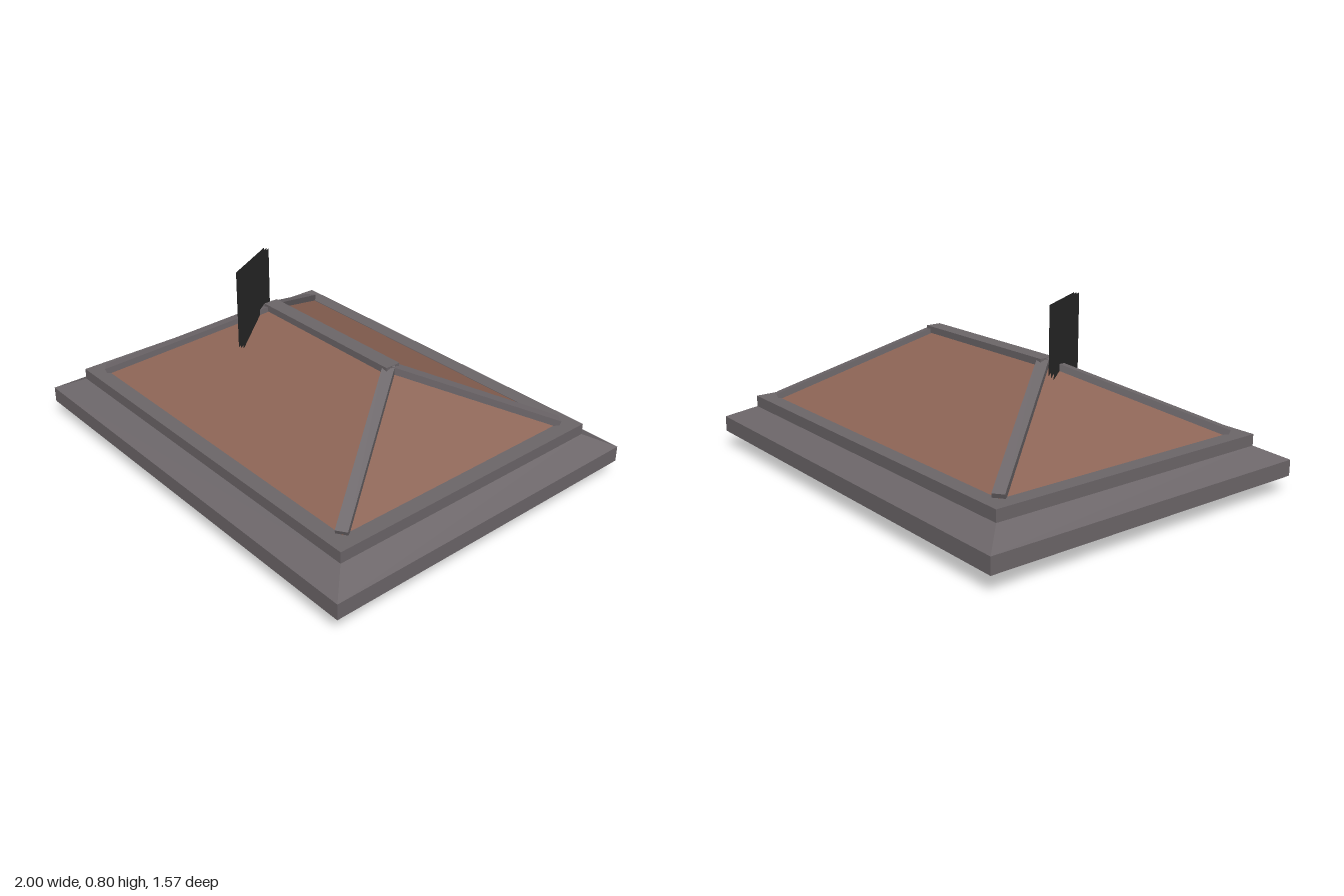
import * as THREE from 'three';

const mat = (name, color, side = THREE.FrontSide) => {
  const m = new THREE.MeshStandardMaterial({ color, side });
  m.name = name;
  return m;
};

// flat-shaded geometry from polygons (each a loop of points, counter-clockwise from outside)
function polygons(faces) {
  const pos = [];
  for (const f of faces)
    for (let i = 1; i < f.length - 1; i++) pos.push(...f[0], ...f[i], ...f[i + 1]);
  const g = new THREE.BufferGeometry();
  g.setAttribute('position', new THREE.Float32BufferAttribute(pos, 3));
  g.computeVertexNormals();
  return g;
}

// closed profile of [inset, y] carried around the rectangular plan
const HX = 1, HZ = 0.785;
const corners = [[1, 1], [1, -1], [-1, -1], [-1, 1]];
function rectangularRing(profile) {
  const at = ([inset, y], [sx, sz]) => [sx * (HX - inset), y, sz * (HZ - inset)];
  const faces = [];
  profile.forEach((p, i) => {
    const q = profile[(i + 1) % profile.length];
    corners.forEach((c, k) => {
      const d = corners[(k + 1) % 4];
      faces.push([at(p, c), at(p, d), at(q, d), at(q, c)]);
    });
  });
  return polygons(faces);
}

export function createModel() {
  const model = new THREE.Group();
  model.name = 'hipRoof';
  const trim = mat('greyTrim', 0x6c6669);
  const clay = mat('brownRoof', 0x8c6455, THREE.DoubleSide);
  const stone = mat('beigeMoulding', 0x877a6b);
  const black = mat('blackChimney', 0x292929, THREE.DoubleSide);

  const add = (name, geometry, material) => {
    const mesh = new THREE.Mesh(geometry, material);
    mesh.name = name;
    model.add(mesh);
    return mesh;
  };

  // stepped eaves and the moulding beneath them
  add('eaves', rectangularRing([
    [0, 0.075], [0, 0.145], [0.11, 0.2], [0.11, 0.25], [0.18, 0.25], [0.2, 0.075],
  ]), trim);
  add('moulding', rectangularRing([
    [0.175, 0], [0.155, 0.055], [0.14, 0.055], [0.14, 0.075],
    [0.21, 0.075], [0.21, 0.03], [0.235, 0.03], [0.235, 0],
  ]), stone);

  // four roof slopes
  const x = 0.825, z = 0.61, base = 0.245, top = 0.56;
  const ridgeL = [0.41, top, 0], ridgeR = [-0.345, top, 0];
  const [fl, bl, br, fr] = corners.map(([sx, sz]) => [sx * x, base, sz * z]);
  add('roofSlopes', polygons([
    [fr, fl, ridgeL, ridgeR],
    [bl, br, ridgeR, ridgeL],
    [fl, bl, ridgeL],
    [br, fr, ridgeR],
  ]), clay);

  // straight bars capping the ridge and hips
  function bar(name, from, to, width, height) {
    const a = new THREE.Vector3(...from), b = new THREE.Vector3(...to);
    const along = b.clone().sub(a);
    const length = along.length();
    along.normalize();
    const side = along.clone().cross(new THREE.Vector3(0, 1, 0)).normalize();
    const up = side.clone().cross(along);
    const g = new THREE.BoxGeometry(length, height, width);
    g.applyMatrix4(new THREE.Matrix4().makeBasis(along, up, side));
    const mesh = add(name, g, trim);
    mesh.position.copy(a.add(b).multiplyScalar(0.5));
  }
  bar('ridgeBar', [-0.365, top, 0], [0.43, top, 0], 0.07, 0.03);
  for (const [sx, sz] of corners)
    bar('hipBar', [sx * 0.815, 0.255, sz * 0.605], sx > 0 ? ridgeL : ridgeR, 0.05, 0.03);

  // chimney: three thin upright sheets set side by side on a diagonal
  const chimney = new THREE.Group();
  chimney.name = 'chimney';
  chimney.position.set(-0.355, 0.627, 0.1);
  chimney.rotation.y = Math.atan2(-0.26, 0.143);
  for (const offset of [-0.011, 0, 0.011]) {
    const sheet = new THREE.Mesh(new THREE.PlaneGeometry(0.295, 0.355), black);
    sheet.name = 'chimneySheet';
    sheet.position.z = offset;
    chimney.add(sheet);
  }
  model.add(chimney);
  return model;
}
